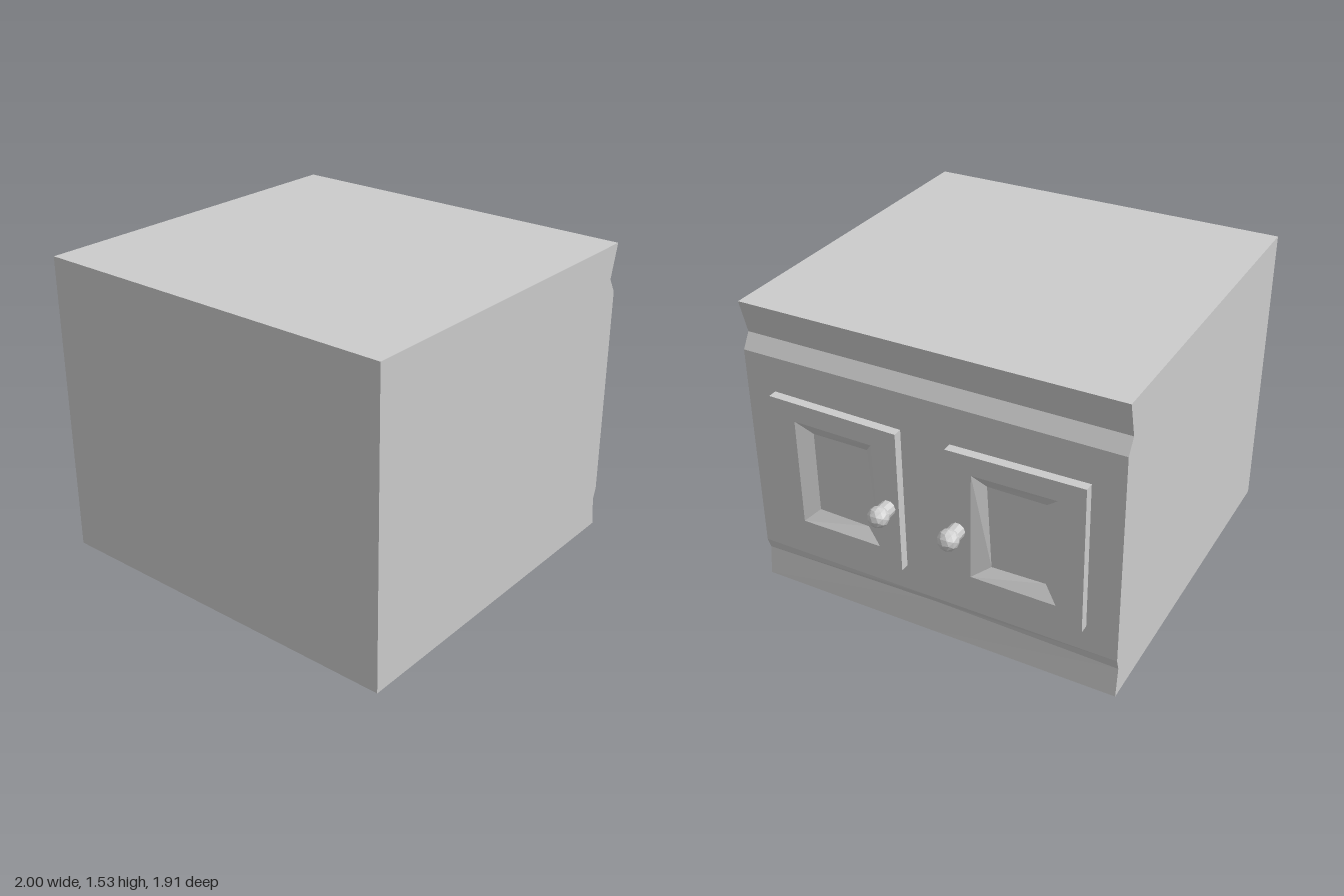
import * as THREE from 'three';

const grey = new THREE.MeshStandardMaterial({ color: 0xcccccc, flatShading: true });

function part(name, geometry, parent) {
  const mesh = new THREE.Mesh(geometry, grey);
  mesh.name = name;
  parent.add(mesh);
  return mesh;
}

// Cabinet side outline (x, y) run along z, with the lower crease arched in the middle
function bodyGeometry() {
  const depth = 1.91;
  const outline = [[-1, 0], [0.82, 0], [0.8, 0.15], [0.82, 0.21], [0.82, 1.29], [0.775, 1.363], [0.82, 1.535], [-1, 1.535]];
  const shape = new THREE.Shape(outline.map(([x, y]) => new THREE.Vector2(x, y)));
  const geo = new THREE.ExtrudeGeometry(shape, { depth, steps: 2, bevelEnabled: false });
  geo.translate(0, 0, -depth / 2);
  const p = geo.attributes.position;
  for (let i = 0; i < p.count; i++) {
    if (Math.abs(p.getZ(i)) < 0.01 && Math.abs(p.getY(i) - 0.15) < 0.01) p.setY(i, 0.17);
  }
  geo.computeVertexNormals();
  return geo;
}

// Door as nested four-corner loops: back rim, front rim, recess edge, recess floor
function doorGeometry(side) {
  const rim = [[0.8, 0.35], [0.125, 0.35], [0.125, 1.1], [0.8, 1.11]];
  const edge = [[0.67, 0.45], [0.242, 0.45], [0.255, 1.005], [0.67, 1.01]];
  const floor = [[0.6, 0.515], [0.328, 0.508], [0.31, 0.94], [0.6, 0.94]];
  const loops = [[0.815, rim], [0.866, rim], [0.866, edge], [0.823, floor]].map(([x, loop]) => {
    const pts = loop.map(([z, y]) => [x, y, z * side]);
    return side > 0 ? pts : pts.reverse();
  });
  const verts = [];
  const quad = (a, b, c, d) => verts.push(...a, ...b, ...c, ...a, ...c, ...d);
  for (let k = 0; k < 3; k++) {
    const [A, B] = [loops[k], loops[k + 1]];
    for (let i = 0; i < 4; i++) {
      const j = (i + 1) % 4;
      quad(A[i], A[j], B[j], B[i]);
    }
  }
  quad(...loops[3]);
  const geo = new THREE.BufferGeometry();
  geo.setAttribute('position', new THREE.Float32BufferAttribute(verts, 3));
  geo.computeVertexNormals();
  return geo;
}

export function createModel() {
  const cabinet = new THREE.Group();
  cabinet.name = 'cabinet';
  part('cabinetBody', bodyGeometry(), cabinet);

  for (const side of [1, -1]) {
    const door = new THREE.Group();
    door.name = side > 0 ? 'leftDoor' : 'rightDoor';
    part('doorPanel', doorGeometry(side), door);

    // Knob: short stem and faceted ball
    const z = side * 0.182;
    const stem = part('knobStem', new THREE.CylinderGeometry(0.039, 0.039, 0.08, 10), door);
    stem.rotation.z = -Math.PI / 2;
    stem.position.set(0.9, 0.692, z);
    const ball = part('knobBall', new THREE.IcosahedronGeometry(0.052, 1), door);
    ball.position.set(0.948, 0.692, z);
    cabinet.add(door);
  }
  return cabinet;
}
